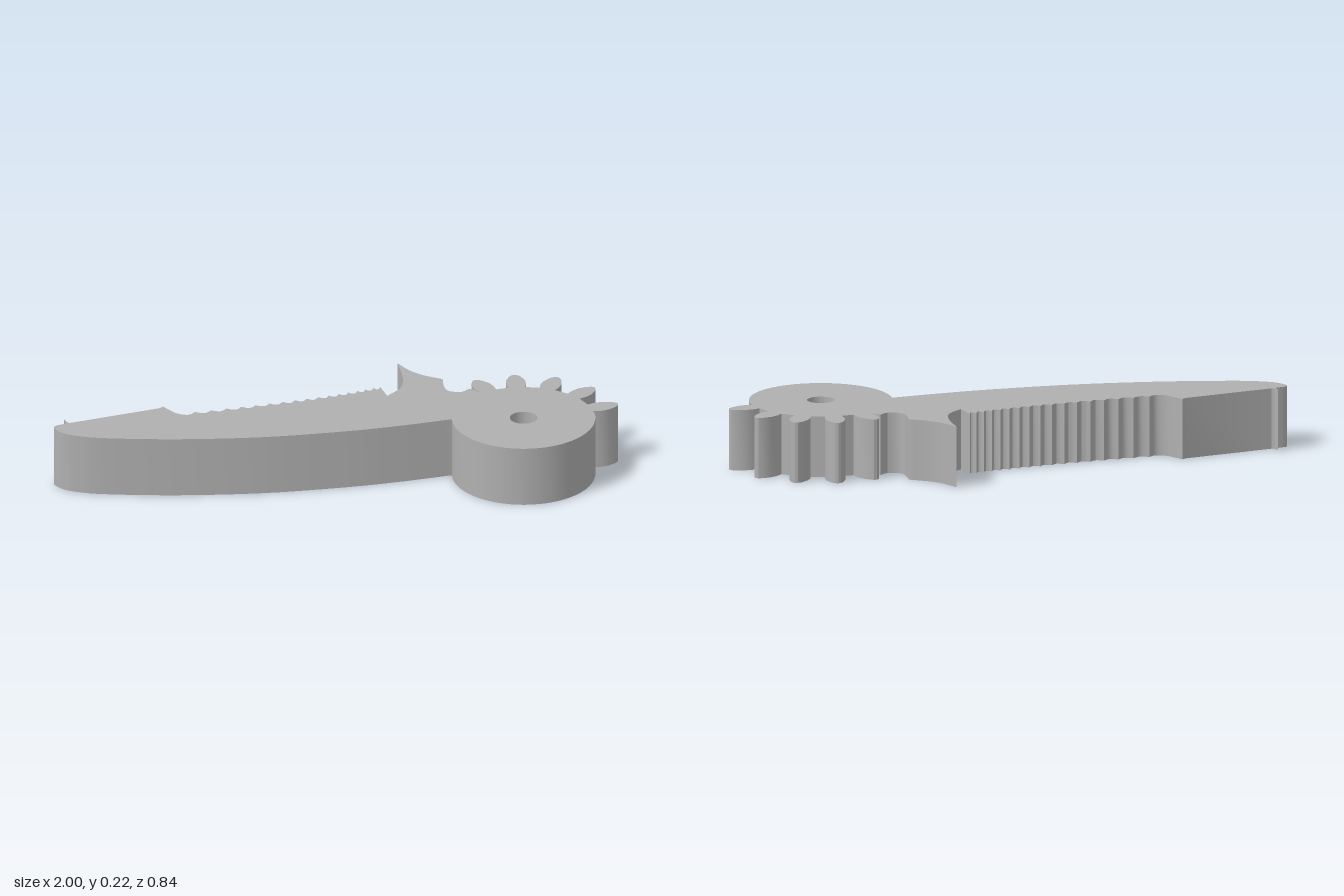
import * as THREE from 'three';
import { toCreasedNormals } from 'three/addons/utils/BufferGeometryUtils.js';

const HEIGHT = 0.225, BORE_DEPTH = 0.08;
const HUB = new THREE.Vector2(0.638, -0.16), HUB_R = 0.26, BORE_R = 0.11, PIN_R = 0.05;

const vecs = (list) => list.map(([x, y]) => new THREE.Vector2(x, y));
const curve = (list, n = 24) => new THREE.SplineCurve(vecs(list)).getPoints(n);

function circle(radius, Type) {
  const path = new Type();
  path.absarc(HUB.x, HUB.y, radius, 0, Math.PI * 2, Type === THREE.Path);
  return path;
}

// Flat outline (x, -z) raised upward between two heights
function slab(shape, bottom, top) {
  const geo = new THREE.ExtrudeGeometry(shape, { depth: top - bottom, bevelEnabled: false, curveSegments: 32 });
  geo.rotateX(-Math.PI / 2).translate(0, bottom, 0);
  return toCreasedNormals(geo, 0.5);
}

// One rounded gear tooth pointing along the given angle, walked counterclockwise
function gearTooth(degrees) {
  const side = [[0.256, 0.03], [0.285, 0.036], [0.315, 0.034], [0.345, 0.022], [0.359, 0.01]];
  const points = [...side.map(([r, w]) => [r, -w]), [0.362, 0], ...side.slice().reverse()];
  return vecs(points).map((p) => p.rotateAround(new THREE.Vector2(), THREE.MathUtils.degToRad(degrees)).add(HUB));
}

// Scalloped gripping edge, walked from the hub towards the tip
function grip() {
  const points = [], bumps = 17, steps = 6;
  const edge = new THREE.QuadraticBezierCurve(...vecs([[0.23, 0.238], [0, 0.21], [-0.535, 0.26]]));
  for (let i = 0; i <= bumps * steps; i++) {
    const p = edge.getPoint(i / (bumps * steps));
    p.y += 0.017 * (1 - Math.sin((Math.PI * (i % steps)) / steps));
    points.push(p);
  }
  return points;
}

function jawOutline() {
  const points = [];
  // Round back of the hub
  for (let a = 164; a <= 350; a += 3) {
    const t = THREE.MathUtils.degToRad(a);
    points.push(new THREE.Vector2(HUB.x + HUB_R * Math.cos(t), HUB.y + HUB_R * Math.sin(t)));
  }
  // Gear teeth
  for (const a of [0, 26, 51.5, 76.5, 100.5]) points.push(...gearTooth(a));
  // Hollow beside the last tooth, then the pointed fang
  points.push(...curve([[0.53, 0.135], [0.495, 0.118], [0.455, 0.14], [0.45, 0.18], [0.465, 0.24]], 12));
  points.push(...curve([[0.46, 0.247], [0.41, 0.295], [0.375, 0.35], [0.354, 0.42]], 12));
  points.push(...curve([[0.352, 0.41], [0.335, 0.31], [0.3, 0.225], [0.23, 0.174]], 12));
  points.push(...grip());
  // Flat nose with its small barb
  points.push(...vecs([[-0.545, 0.29], [-0.568, 0.352], [-0.585, 0.343], [-0.93, 0.331],
    [-0.938, 0.338], [-0.942, 0.364], [-0.946, 0.33]]));
  points.push(...curve([[-0.96, 0.329], [-0.99, 0.324], [-1, 0.305], [-0.985, 0.262], [-0.945, 0.222],
    [-0.85, 0.168], [-0.6, 0.073], [-0.3, -0.01], [0, -0.06], [0.2, -0.079], [0.375, -0.087]], 60));
  return points;
}

export function createModel() {
  const group = new THREE.Group();
  group.name = 'gearedGripperJaw';
  const grey = new THREE.MeshStandardMaterial({ color: 0xb0b0b0 });
  grey.name = 'plain grey';
  const add = (name, geometry) => {
    const mesh = new THREE.Mesh(geometry, grey);
    mesh.name = name;
    group.add(mesh);
  };

  // Jaw, fang and gear in one plate with a wide bore
  const jaw = new THREE.Shape(jawOutline());
  jaw.holes.push(circle(BORE_R, THREE.Path));
  add('jawPlate', slab(jaw, 0, HEIGHT));

  // Collar that narrows the bore to the pin hole above the recess
  const collar = circle(BORE_R, THREE.Shape);
  collar.holes.push(circle(PIN_R, THREE.Path));
  add('pinCollar', slab(collar, BORE_DEPTH, HEIGHT));
  return group;
}
